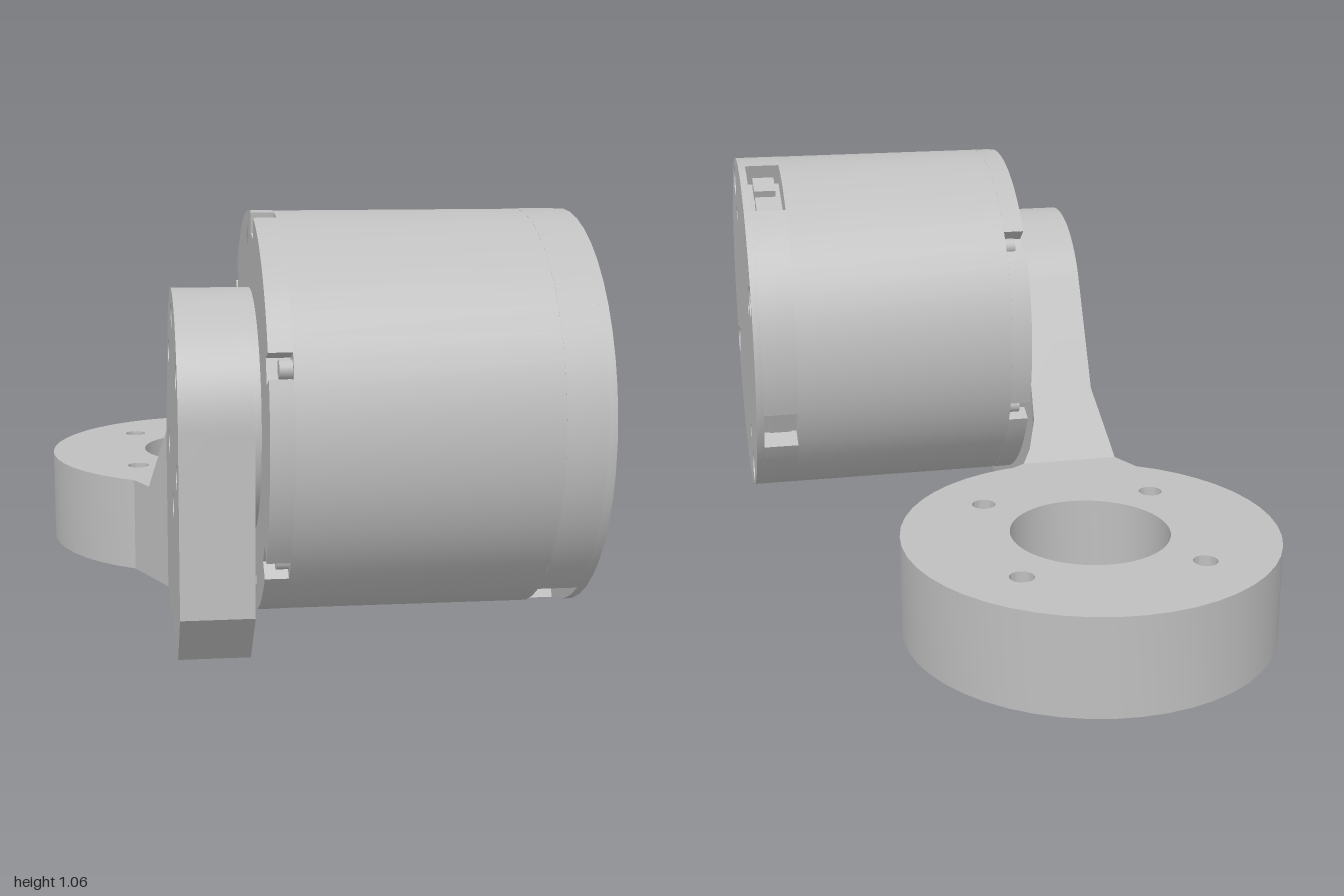
import * as THREE from 'three';
import { toCreasedNormals } from 'three/addons/utils/BufferGeometryUtils.js';

const metal = new THREE.MeshStandardMaterial({ color: 0xbfbfbf });
metal.name = 'grey metal';

const R = 0.485;                    // motor and ring radius
const CY = 0.575, CZ = 0.51;        // motor axis height and depth
const rad = (deg) => THREE.MathUtils.degToRad(deg);

function add(parent, name, geometry) {
  const mesh = new THREE.Mesh(geometry, metal);
  mesh.name = name;
  parent.add(mesh);
  return mesh;
}

function extrude(shape, depth) {
  const g = new THREE.ExtrudeGeometry(shape, { depth, bevelEnabled: false, curveSegments: 24 });
  return toCreasedNormals(g, 0.5);
}

// Extrude along x; shape coordinates are (-z, y)
function extrudeX(shape, x0, x1) {
  return extrude(shape, x1 - x0).rotateY(Math.PI / 2).translate(x0, 0, 0);
}

// Point around the motor axis; 0 degrees faces +z, 90 is up
const polar = (a, r) => new THREE.Vector2(-r * Math.cos(a), r * Math.sin(a));

function hole(shape, x, y, r) {
  shape.holes.push(new THREE.Path().absarc(x, y, r, 0, Math.PI * 2, true));
}

function polarHoles(shape, degrees, ringRadius, r) {
  for (const d of degrees) {
    const p = polar(rad(d), ringRadius);
    hole(shape, p.x, p.y, r);
  }
}

// Disc outline with straight-sided notches {deg, width, depth}, in angle order
function notchedDisc(notches) {
  const pts = [];
  notches.forEach((n, i) => {
    const next = notches[(i + 1) % notches.length];
    const a = rad(n.deg), inner = R - n.depth;
    const outerHalf = Math.asin(n.width / 2 / R), innerHalf = Math.asin(n.width / 2 / inner);
    pts.push(polar(a - outerHalf, R), polar(a - innerHalf, inner));
    pts.push(polar(a + innerHalf, inner), polar(a + outerHalf, R));
    const start = a + outerHalf;
    const end = rad(next.deg + (next.deg <= n.deg ? 360 : 0)) - Math.asin(next.width / 2 / R);
    const steps = Math.ceil((end - start) / rad(4));
    for (let k = 1; k < steps; k++) pts.push(polar(start + (end - start) * k / steps, R));
  });
  return new THREE.Shape(pts);
}

function plainDisc(r) {
  return new THREE.Shape().absarc(0, 0, r, 0, Math.PI * 2, false);
}

function createMotor() {
  const motor = new THREE.Group();
  motor.name = 'motor';
  motor.position.set(0, CY, CZ);

  // Front flange with six screw notches
  const notchAngles = [22, 82, 142, 202, 262, 322];
  const flange = notchedDisc(notchAngles.map((deg) => ({ deg, width: 0.06, depth: 0.05 })));
  polarHoles(flange, [52, 97, 172, 217, 292, 337], 0.425, 0.022);
  add(motor, 'notchedFlange', extrudeX(flange, -0.13, -0.075));
  for (const d of notchAngles) {
    const p = polar(rad(d), 0.452);
    const g = new THREE.CylinderGeometry(0.022, 0.022, 0.03, 16).rotateZ(Math.PI / 2);
    add(motor, 'notchScrew', g).position.set(-0.09, p.y, -p.x);
  }

  // Main housing
  add(motor, 'housing', extrudeX(plainDisc(R), -0.075, 0.525));

  // Rear section with connector pockets, and end cap with counterbored holes
  const capAngles = [67, 157, 247, 337];
  const sockets = [
    { deg: 112, width: 0.23, depth: 0.06 },
    { deg: 204, width: 0.12, depth: 0.06 },
    { deg: 293, width: 0.23, depth: 0.06 },
  ];
  const rear = notchedDisc(sockets);
  polarHoles(rear, capAngles, 0.43, 0.025);
  polarHoles(rear, capAngles, 0.328, 0.022);
  add(motor, 'rearSection', extrudeX(rear, 0.525, 0.62));

  const cap = plainDisc(R);
  polarHoles(cap, capAngles, 0.43, 0.044);
  polarHoles(cap, capAngles, 0.328, 0.022);
  add(motor, 'endCap', extrudeX(cap, 0.62, 0.64));

  // Connector plugs inside the pockets
  for (const s of sockets) {
    const count = s.width > 0.2 ? 2 : 1;
    for (let i = 0; i < count; i++) {
      const pivot = new THREE.Group();
      pivot.name = 'connector';
      pivot.rotation.x = -rad(s.deg);
      motor.add(pivot);
      const y = (i - (count - 1) / 2) * 0.1;
      add(pivot, 'plug', new THREE.BoxGeometry(0.06, 0.07, 0.03)).position.set(0.572, y, 0.435);
    }
  }
  return motor;
}

function createBracket() {
  const bracket = new THREE.Group();
  bracket.name = 'bracket';

  // Flat base ring with four bolt holes
  const ring = plainDisc(R);
  hole(ring, 0, 0, 0.205);
  for (const x of [-0.23, 0.23]) for (const y of [-0.23, 0.23]) hole(ring, x, y, 0.031);
  const ringGeo = extrude(ring, 0.26).rotateX(-Math.PI / 2).translate(-0.16, 0, -0.51);
  add(bracket, 'baseRing', ringGeo);

  // Upright plate, rounded around the motor axis
  const plate = new THREE.Shape();
  const toPlate = (z, y) => [CZ - z, y - CY];
  plate.moveTo(...toPlate(0.09, 0));
  plate.lineTo(...toPlate(0.09, 0.439));
  plate.absarc(0, 0, 0.3, rad(29.2), rad(180), false);
  plate.lineTo(...toPlate(0.81, 0.14));
  plate.lineTo(...toPlate(0.68, 0));
  polarHoles(plate, [30, 90, 150, 210, 270, 330], 0.235, 0.03);
  const plateMesh = add(bracket, 'uprightPlate', extrudeX(plate, -0.32, -0.145));
  plateMesh.position.set(0, CY, CZ);

  // Output disc between plate and motor
  const disc = add(bracket, 'outputDisc', extrudeX(plainDisc(0.3), -0.145, -0.13));
  disc.position.set(0, CY, CZ);

  // Flared web blending the plate into the ring: rows of z, left x, right x
  const rows = [
    [0.09, -0.32, -0.145], [0.05, -0.339, -0.143], [0.01, -0.358, -0.122],
    [-0.01, -0.367, -0.1], [-0.035, -0.379, -0.065], [-0.06, -0.391, 0], [-0.1, -0.41, 0.05],
  ];
  const pos = [], index = [];
  rows.forEach(([z, xl, xr], i) => {
    const top = 0.26 + Math.max(0, (z + 0.01) * 1.79);
    pos.push(xl, 0, z, xr, 0, z, xr, top, z, xl, top, z);
    if (i === 0) return;
    for (let k = 0; k < 4; k++) {
      const a = (i - 1) * 4 + k, b = (i - 1) * 4 + (k + 1) % 4;
      index.push(a, a + 4, b, b, a + 4, b + 4);
    }
  });
  const web = new THREE.BufferGeometry();
  web.setAttribute('position', new THREE.Float32BufferAttribute(pos, 3));
  web.setIndex(index);
  add(bracket, 'flaredWeb', toCreasedNormals(web, 0.45));
  return bracket;
}

export function createModel() {
  const model = new THREE.Group();
  model.name = 'motorOnBracket';
  model.add(createBracket(), createMotor());
  return model;
}
